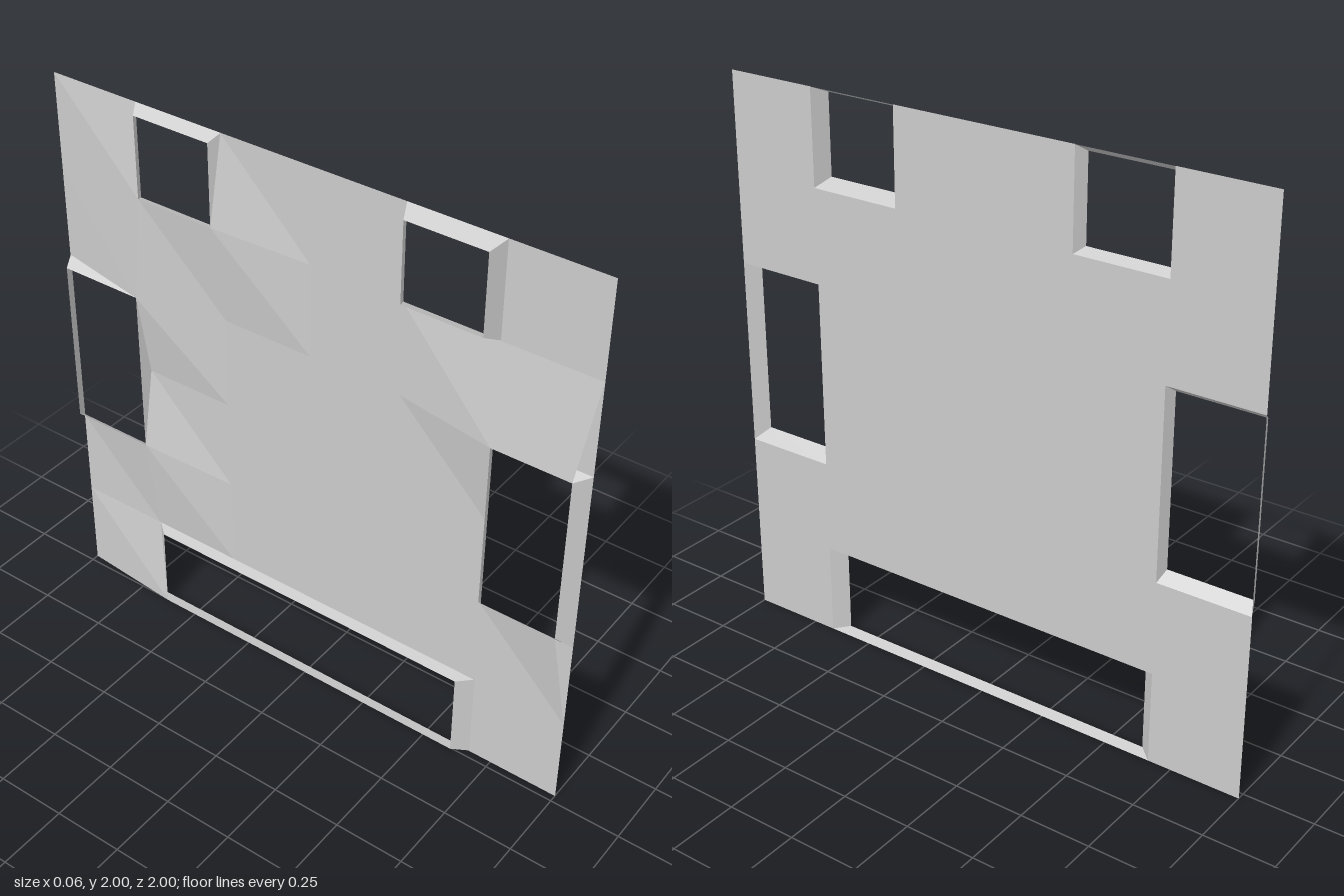
import * as THREE from 'three';

const FACE = 0.028; // x of the flat outer face
const N = 6;        // the panel is a 6 x 6 grid of cells
const gz = i => -1 + i / 3;
const gy = j => j / 3;

// Openings: grid rectangle, then the smaller rear rim (z, y ranges and depth x)
const openings = [
  { name: 'upperLeftOpening', i: [4, 5], j: [5, 6], z: [0.36, 0.64], y: [1.695, 1.975], x: -0.028 },
  { name: 'upperRightOpening', i: [1, 2], j: [5, 6], z: [-0.645, -0.355], y: [1.685, 1.975], x: -0.01 },
  { name: 'sideFrontOpening', i: [5, 6], j: [2, 4], z: [0.68, 0.955], y: [0.71, 1.315], x: -0.012 },
  { name: 'sideBackOpening', i: [0, 1], j: [2, 4], z: [-0.985, -0.68], y: [0.7, 1.305], x: -0.012 },
  { name: 'bottomOpening', i: [1, 5], j: [0, 1], z: [-0.62, 0.615], y: [0.01, 0.325], x: -0.012 },
];

// Opening corners where the rear skin is pulled out to the rim
const raised = ['1,5', '2,5', '5,4', '6,4', '6,2', '1,4', '1,2', '1,0'];

const material = new THREE.MeshStandardMaterial({
  color: 0xcccccc, flatShading: true, side: THREE.DoubleSide,
});

// Mesh from a list of four-cornered faces
function quadMesh(name, quads) {
  const points = quads.flatMap(([a, b, c, d]) => [a, b, c, a, c, d]).flat();
  const geometry = new THREE.BufferGeometry();
  geometry.setAttribute('position', new THREE.Float32BufferAttribute(points, 3));
  geometry.computeVertexNormals();
  const mesh = new THREE.Mesh(geometry, material);
  mesh.name = name;
  return mesh;
}

const inOpening = (i, j) => openings.some(o =>
  i >= o.i[0] && i < o.i[1] && j >= o.j[0] && j < o.j[1]);

// All solid cells of the panel, corners placed by a rule
function gridQuads(corner, flip) {
  const quads = [];
  for (let i = 0; i < N; i++) {
    for (let j = 0; j < N; j++) {
      if (inOpening(i, j)) continue;
      const q = [corner(i, j), corner(i, j + 1), corner(i + 1, j + 1), corner(i + 1, j)];
      quads.push(flip ? q.reverse() : q);
    }
  }
  return quads;
}

const facePoint = (i, j) => [FACE, gy(j), gz(i)];

// Rear skin: just behind the face, ramping out to the raised rim corners
function rearPoint(i, j) {
  if (raised.includes(`${i},${j}`)) {
    const o = openings.find(p => p.i.includes(i) && p.j.includes(j));
    return [o.x, o.y[o.j.indexOf(j)], o.z[o.i.indexOf(i)]];
  }
  return [FACE - 0.002, gy(j), gz(i)];
}

// Four tapering walls from the face to the rear rim
function wallQuads(o) {
  const order = [[0, 0], [1, 0], [1, 1], [0, 1]];
  const outer = order.map(([a, b]) => facePoint(o.i[a], o.j[b]));
  const inner = order.map(([a, b]) => [o.x, o.y[b], o.z[a]]);
  return order.map((_, k) => {
    const n = (k + 1) % 4;
    return [outer[k], outer[n], inner[n], inner[k]];
  });
}

export function createModel() {
  const group = new THREE.Group();
  group.name = 'wallPanel';
  group.add(quadMesh('panelFace', gridQuads(facePoint, false)));
  group.add(quadMesh('panelRear', gridQuads(rearPoint, true)));
  for (const o of openings) group.add(quadMesh(o.name, wallQuads(o)));
  return group;
}
